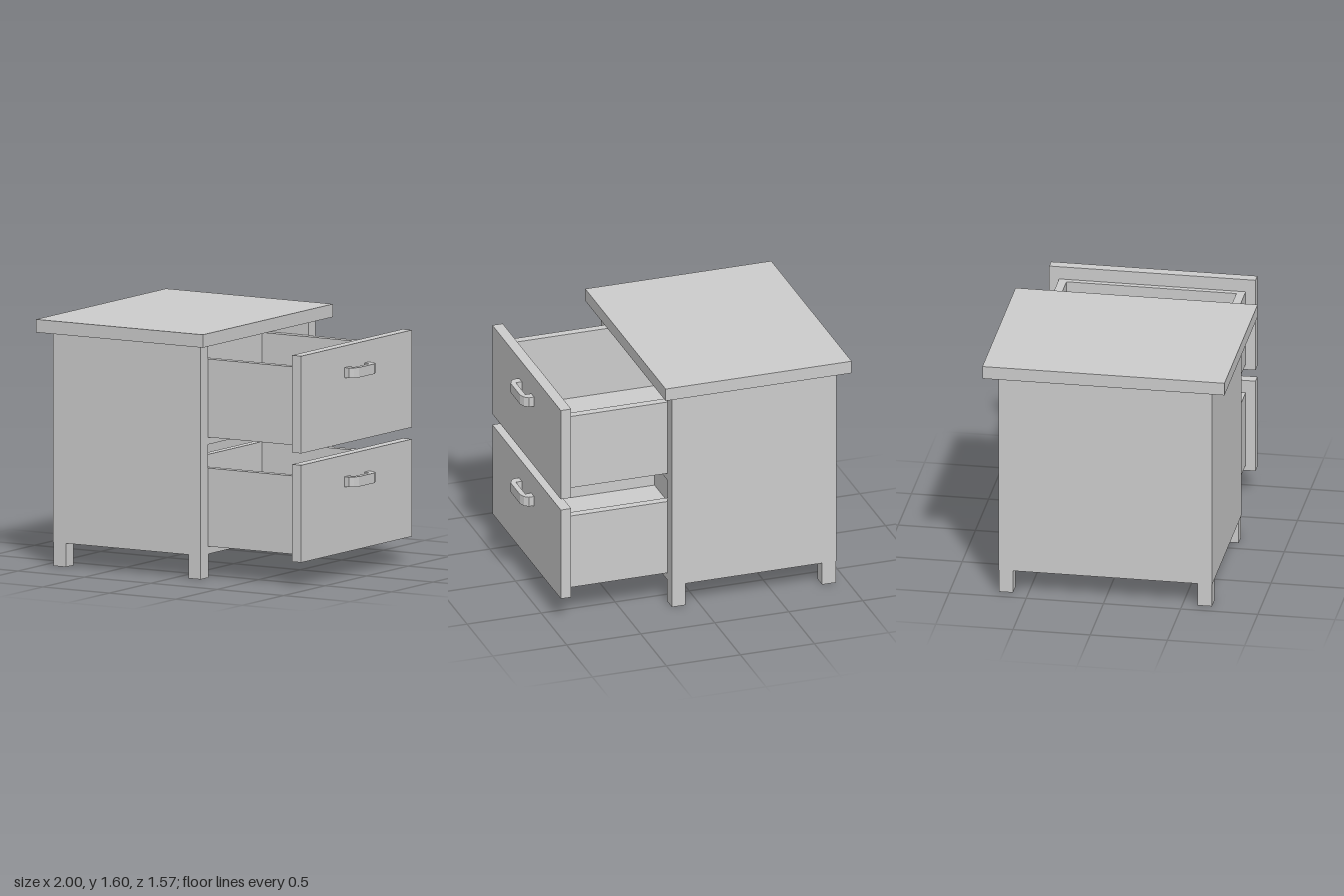
import * as THREE from 'three';

const material = new THREE.MeshStandardMaterial({ color: 0xcccccc, flatShading: true });

// Box given by its min and max along each axis
function box(name, [x0, x1], [y0, y1], [z0, z1]) {
  const mesh = new THREE.Mesh(new THREE.BoxGeometry(x1 - x0, y1 - y0, z1 - z0), material);
  mesh.position.set((x0 + x1) / 2, (y0 + y1) / 2, (z0 + z1) / 2);
  mesh.name = name;
  return mesh;
}

// Bow handle: a bracket outline in plan, extruded vertically
function createHandle() {
  const half = [[0.925, 0.147], [0.96, 0.147], [0.985, 0.128], [1, 0.092]];
  const inner = [[0.965, 0.092], [0.925, 0.092]];
  const mirror = (pts) => pts.map(([x, z]) => [x, -z]).reverse();
  const outline = [...half, ...mirror(half), ...mirror(inner), ...inner];
  const shape = new THREE.Shape(outline.map(([x, z]) => new THREE.Vector2(x, z)));
  const geometry = new THREE.ExtrudeGeometry(shape, { depth: 0.065, bevelEnabled: false });
  geometry.rotateX(Math.PI / 2);
  const mesh = new THREE.Mesh(geometry, material);
  mesh.name = 'handle';
  return mesh;
}

// Open-topped drawer, built with its underside at y = 0
function createDrawer(name) {
  const drawer = new THREE.Group();
  drawer.name = name;
  const back = -0.18, front = 0.855, height = 0.505, w = 0.604, inner = 0.55;
  drawer.add(
    box('drawerFloor', [back, front], [0, 0.05], [-w, w]),
    box('drawerBack', [back, back + 0.05], [0.05, height], [-inner, inner]),
    box('drawerInnerFront', [0.818, front], [0.05, height], [-inner, inner]),
    box('drawerFront', [front, 0.925], [-0.038, 0.59], [-0.668, 0.668]),
  );
  for (const [a, b] of [[-w, -inner], [inner, w]]) {
    drawer.add(box('drawerSide', [back, front], [0.05, height], [a, b]));
  }
  const handle = createHandle();
  handle.position.y = 0.45;
  drawer.add(handle);
  return drawer;
}

export function createModel() {
  const model = new THREE.Group();
  model.name = 'drawerCabinet';

  // Carcass, open towards +x
  const xs = [-0.928, 0.183];
  const inside = [-0.606, 0.606];
  model.add(
    box('top', [-1, 0.257], [1.513, 1.597], [-0.784, 0.784]),
    box('backPanel', [-0.928, -0.85], [0.153, 1.513], inside),
    box('basePanel', [-0.85, 0.183], [0.153, 0.203], inside),
    box('divider', [-0.85, 0.183], [0.86, 0.907], inside),
  );

  // Side panels and legs
  for (const s of [-1, 1]) {
    const side = [0.606 * s, 0.692 * s].sort((a, b) => a - b);
    const legZ = [0.598 * s, 0.69 * s].sort((a, b) => a - b);
    model.add(box('sidePanel', xs, [0.153, 1.513], side));
    for (const legX of [[-0.925, -0.832], [0.09, 0.182]]) {
      model.add(box('leg', legX, [0, 0.153], legZ));
    }
  }

  // Two pulled-out drawers
  [['lowerDrawer', 0.203], ['upperDrawer', 0.907]].forEach(([name, y]) => {
    const drawer = createDrawer(name);
    drawer.position.y = y;
    model.add(drawer);
  });

  return model;
}
